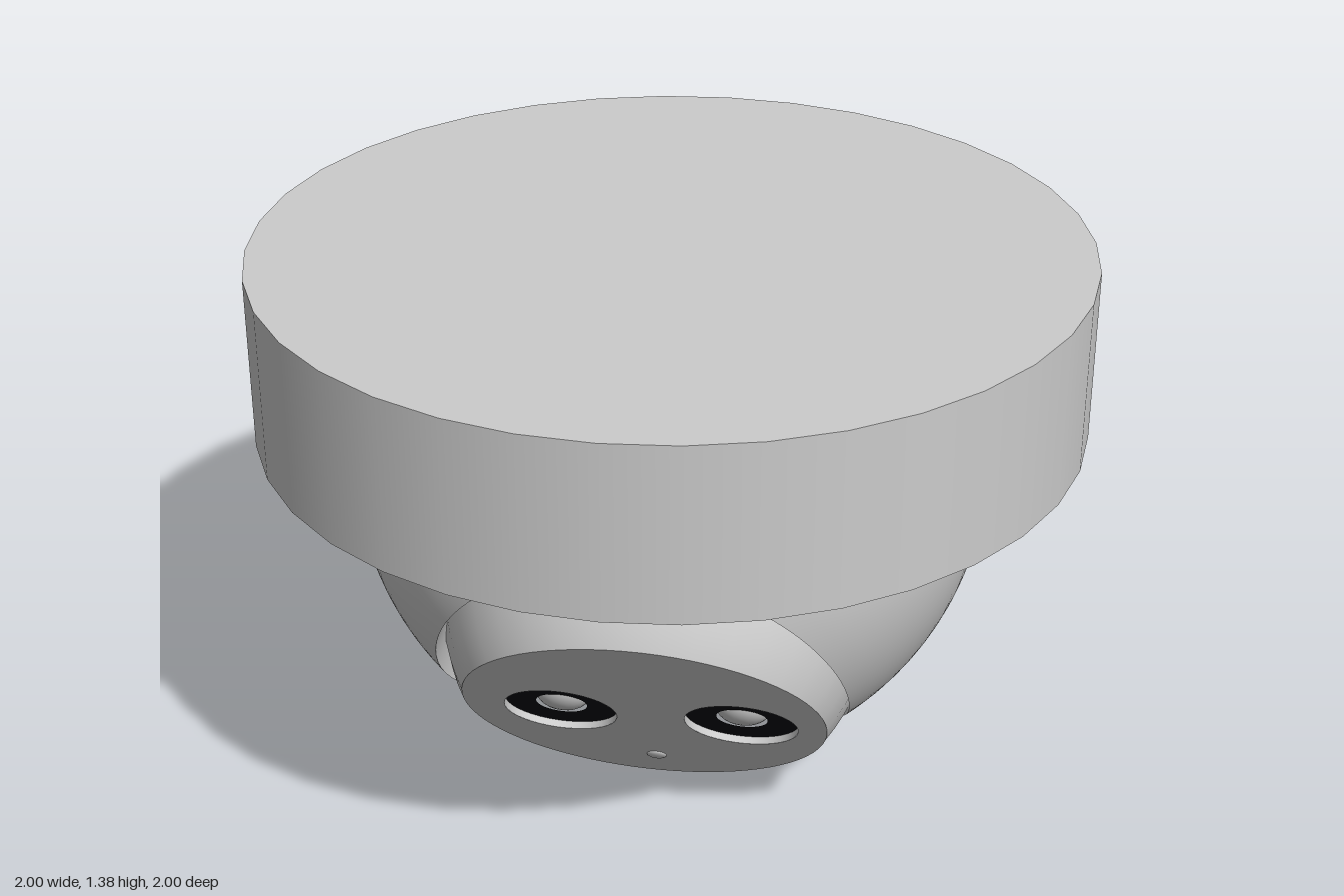
import * as THREE from 'three';

const GREY = new THREE.MeshStandardMaterial({ color: 0xcccccc });
const THIN = new THREE.MeshStandardMaterial({ color: 0xcccccc, side: THREE.DoubleSide });
const DARK = new THREE.MeshStandardMaterial({ color: 0x05050f, side: THREE.DoubleSide });

const CHANNEL = { r: 0.49, y: 0.44 };   // round channel cut through the housing along z
const BASE_Y = 0.95, TOP_Y = 1.375;

function add(parent, name, geometry, material, x = 0, y = 0, z = 0) {
  const mesh = new THREE.Mesh(geometry, material);
  mesh.name = name;
  mesh.position.set(x, y, z);
  parent.add(mesh);
  return mesh;
}

// Grid of quads from a point rule p(i, j); flip reverses the facing
function grid(nu, nv, p, flip) {
  const pos = [], index = [];
  for (let j = 0; j <= nv; j++) for (let i = 0; i <= nu; i++) pos.push(...p(i, j));
  for (let j = 0; j < nv; j++) for (let i = 0; i < nu; i++) {
    const a = j * (nu + 1) + i, b = a + 1, c = a + nu + 1, d = c + 1;
    if (flip) index.push(a, c, b, b, c, d);
    else index.push(a, b, c, b, d, c);
  }
  const g = new THREE.BufferGeometry();
  g.setAttribute('position', new THREE.Float32BufferAttribute(pos, 3));
  g.setIndex(index);
  g.computeVertexNormals();
  return g;
}

// Outer radius of the bowl-shaped housing at height y
function bowlRadius(y) {
  const d = Math.max(0, 0.82 - y) / 0.75;
  return 0.77 * Math.sqrt(1 - d * d);
}

// Height, channel half-width and bowl radius of one row, from the lower tip up
const ROWS = 28;
function row(j) {
  if (j > ROWS) return { y: BASE_Y, w: 0, r: 0.77 };
  const a = THREE.MathUtils.lerp(-0.535, Math.PI / 2, j / ROWS);
  const y = CHANNEL.y + CHANNEL.r * Math.sin(a);
  return { y, w: CHANNEL.r * Math.cos(a), r: bowlRadius(y) };
}

// One half of the housing: outer bowl and the channel wall inside it
function housingHalf(side) {
  const half = new THREE.Group();
  half.name = side > 0 ? 'leftHousing' : 'rightHousing';
  const N = 24;
  const outer = grid(N, ROWS + 1, (i, j) => {
    const { y, w, r } = row(j);
    const phi = Math.acos(Math.min(1, w / r)) * (2 * i / N - 1);
    return [side * r * Math.cos(phi), y, r * Math.sin(phi)];
  }, side > 0);
  const wall = grid(4, ROWS, (i, j) => {
    const { y, w, r } = row(j);
    const z = Math.sqrt(Math.max(0, r * r - w * w));
    return [side * w, y, z * (i / 2 - 1)];
  }, side < 0);
  add(half, 'housingShell', outer, THIN);
  add(half, 'channelWall', wall, THIN);
  return half;
}

// Ball with a flat face, two recessed lenses and a small sensor; local +z faces out
function cameraBall() {
  const ball = new THREE.Group();
  ball.name = 'cameraBall';
  const faceR = 0.44, depth = 0.283, R = Math.hypot(faceR, depth);
  const start = Math.acos(depth / R);
  const sphere = new THREE.SphereGeometry(R, 36, 28, 0, Math.PI * 2, start, Math.PI - start);
  sphere.rotateX(Math.PI / 2);
  add(ball, 'ballBody', sphere, GREY, 0, 0, -depth);

  // Face plate with the two lens openings
  const lensX = [-0.206, 0.233], lensY = -0.022, lensR = 0.137;
  const face = new THREE.Shape().absarc(0, 0, faceR, 0, Math.PI * 2);
  for (const x of lensX) face.holes.push(new THREE.Path().absarc(x, lensY, lensR, 0, Math.PI * 2, true));
  add(ball, 'facePlate', new THREE.ShapeGeometry(face, 36), GREY);

  for (const x of lensX) {
    const lens = new THREE.Group();
    lens.name = 'lens';
    lens.position.set(x, lensY, 0);
    const rim = new THREE.CylinderGeometry(lensR, lensR, 0.02, 36, 1, true).rotateX(Math.PI / 2);
    add(lens, 'lensRim', rim, THIN, 0, 0, -0.01);
    add(lens, 'lensRing', new THREE.RingGeometry(0.062, lensR, 36), DARK, 0, 0, -0.018);
    const glass = new THREE.SphereGeometry(0.066, 24, 16).scale(1, 1, 0.6);
    add(lens, 'lensGlass', glass, GREY, 0, 0, -0.045);
    ball.add(lens);
  }

  const sensor = new THREE.SphereGeometry(0.025, 16, 10).scale(1, 1, 0.3);
  add(ball, 'sensor', sensor, GREY, 0, -0.31, 0);

  ball.position.set(0, 0.347, 0.435);
  ball.rotation.x = 0.662;
  return ball;
}

export function createModel() {
  const model = new THREE.Group();
  model.name = 'ceilingCamera';
  const height = TOP_Y - BASE_Y;
  add(model, 'mountingBase', new THREE.CylinderGeometry(1, 1, height, 36), GREY, 0, BASE_Y + height / 2, 0);
  model.add(housingHalf(1), housingHalf(-1), cameraBall());
  return model;
}
